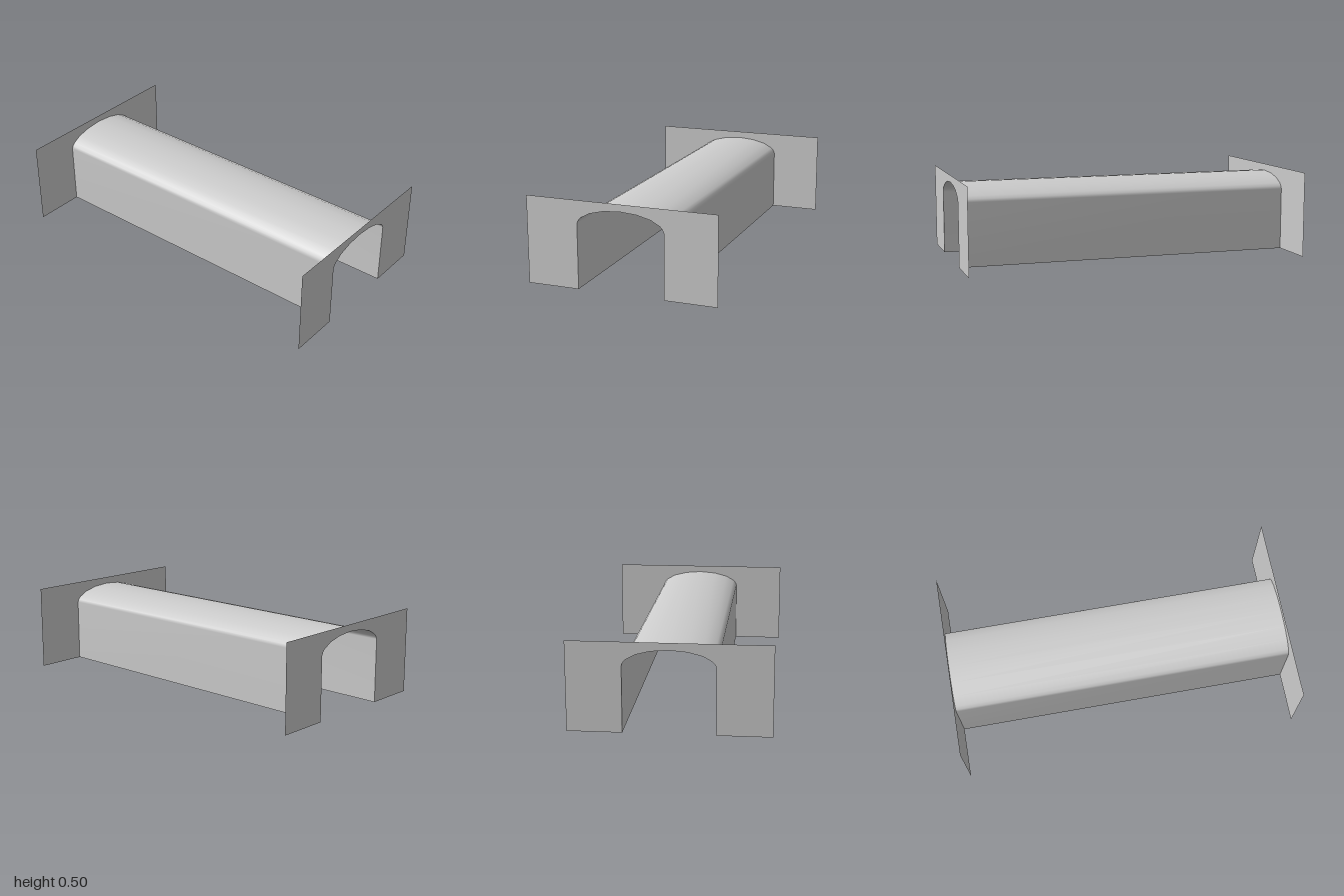
import * as THREE from 'three';

const material = new THREE.MeshStandardMaterial({ color: 0xcccccc, side: THREE.DoubleSide });
const HALF_LENGTH = 1, PLATE_HALF_WIDTH = 0.55, PLATE_HEIGHT = 0.5;

// Arch cross-section, from the foot of the +x wall over the crown to the -x foot
const half = [[0.25, 0], [0.25, 0.37], [0.243, 0.387], [0.228, 0.404], [0.177, 0.432], [0.098, 0.452]];
const arch = [...half, [0, 0.46], ...half.map(([x, y]) => [-x, y]).reverse()];

// Thin open shell swept straight along z
function vaultGeometry() {
  const positions = [], index = [];
  arch.forEach(([x, y], i) => {
    positions.push(x, y, HALF_LENGTH, x, y, -HALF_LENGTH);
    if (i < arch.length - 1) {
      const a = i * 2;
      index.push(a, a + 1, a + 3, a, a + 3, a + 2);
    }
  });
  const geometry = new THREE.BufferGeometry();
  geometry.setAttribute('position', new THREE.Float32BufferAttribute(positions, 3));
  geometry.setIndex(index);
  geometry.computeVertexNormals();
  return geometry;
}

// Flat portal wall with the arch cut out of its lower edge
function portalGeometry() {
  const outline = [
    ...arch,
    [-PLATE_HALF_WIDTH, 0], [-PLATE_HALF_WIDTH, PLATE_HEIGHT],
    [PLATE_HALF_WIDTH, PLATE_HEIGHT], [PLATE_HALF_WIDTH, 0],
  ];
  return new THREE.ShapeGeometry(new THREE.Shape(outline.map(([x, y]) => new THREE.Vector2(x, y))));
}

export function createModel() {
  const group = new THREE.Group();
  group.name = 'archedTunnel';

  const vault = new THREE.Mesh(vaultGeometry(), material);
  vault.name = 'tunnelVault';
  group.add(vault);

  // One portal at each end, both facing outwards
  for (const [name, side] of [['frontPortal', 1], ['backPortal', -1]]) {
    const portal = new THREE.Mesh(portalGeometry(), material);
    portal.name = name;
    portal.position.z = side * HALF_LENGTH;
    if (side < 0) portal.rotation.y = Math.PI;
    group.add(portal);
  }
  return group;
}
